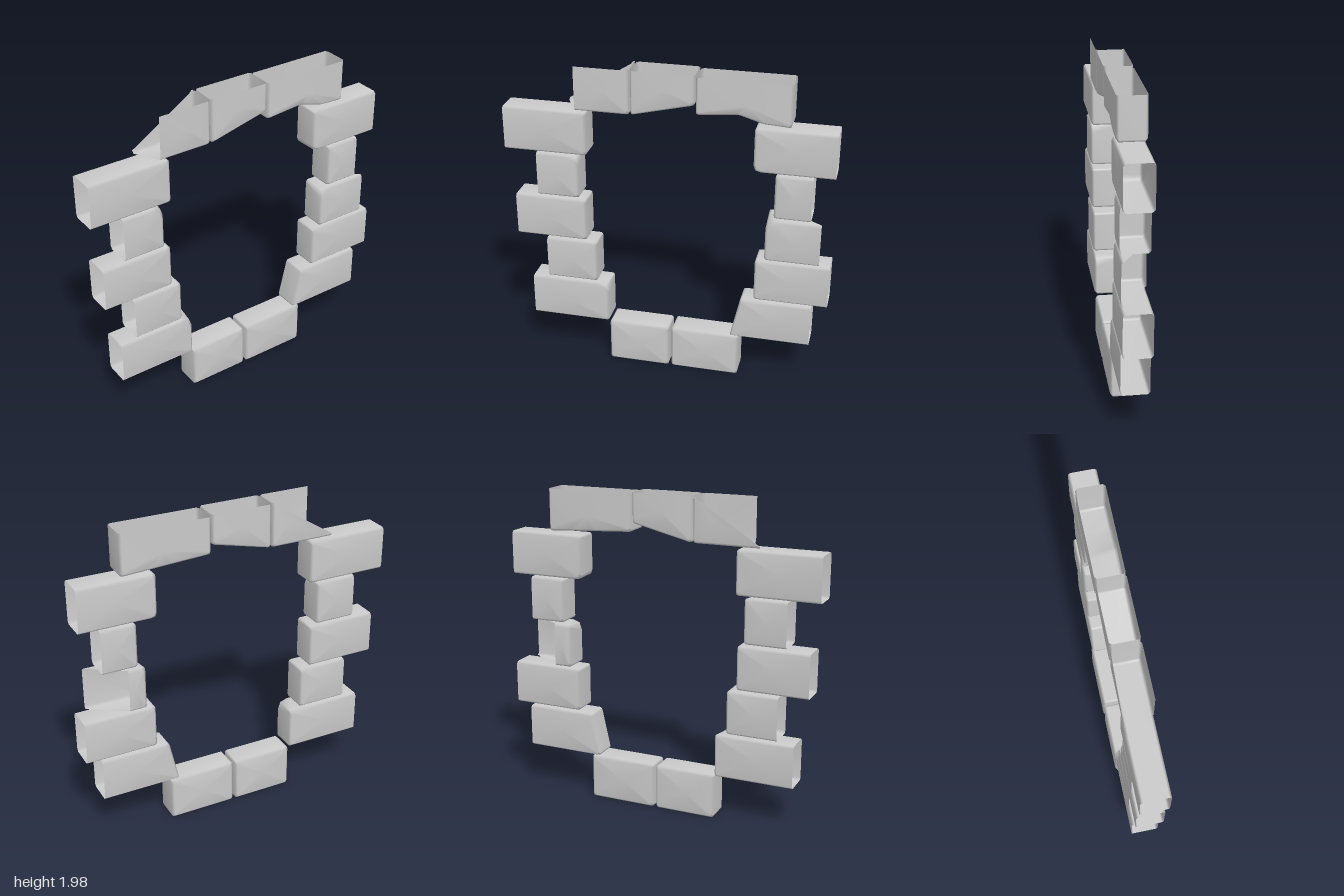
import * as THREE from 'three';
import { mergeVertices } from 'three/addons/utils/BufferGeometryUtils.js';

const D = 0.085; // half depth
const B = 0.014; // bevel
const R = 0.016; // corner rounding
const STEPS = 2;

const material = new THREE.MeshStandardMaterial({ color: 0xcccccc, side: THREE.DoubleSide });

// Moves each corner inwards, leaving open edges in place
function inset(corners, open, b) {
  const n = corners.length;
  const normals = corners.map((c, i) => {
    if (open.includes(i)) return new THREE.Vector2();
    const d = corners[(i + 1) % n].clone().sub(c).normalize();
    return new THREE.Vector2(-d.y, d.x);
  });
  return corners.map((c, i) => {
    const p = normals[(i + n - 1) % n], q = normals[i];
    return c.clone().addScaledVector(p.clone().add(q), b / (1 + Math.max(0, p.dot(q))));
  });
}

// Rounds every corner that does not touch an open edge
function outline(corners, open, radii) {
  const n = corners.length, points = [];
  corners.forEach((c, i) => {
    const prev = corners[(i + n - 1) % n], next = corners[(i + 1) % n];
    const r = open.includes(i) || open.includes((i + n - 1) % n) ? 0 : radii[i] ?? R;
    const a = c.clone().add(prev.clone().sub(c).normalize().multiplyScalar(r));
    const b = c.clone().add(next.clone().sub(c).normalize().multiplyScalar(r));
    points.push(...new THREE.QuadraticBezierCurve(a, c, b).getPoints(STEPS));
  });
  return points;
}

// Bevelled stone lofted from a front outline to a back outline; open edges get no wall
function stone(name, front, { back = front, open = [], chips = {}, backChips = {} } = {}) {
  const f = front.map(p => new THREE.Vector2(...p));
  const k = back.map(p => new THREE.Vector2(...p));
  const loops = [
    [outline(inset(f, open, B), open, chips), D],
    [outline(f, open, chips), D - B],
    [outline(k, open, backChips), B - D],
    [outline(inset(k, open, B), open, backChips), -D],
  ];
  const n = loops[0][0].length, per = STEPS + 1, pos = [], index = [];
  for (const [points, z] of loops) for (const p of points) pos.push(p.x, p.y, z);

  // Walls and bevels
  for (let l = 0; l < 3; l++) {
    for (let i = 0; i < n; i++) {
      if (i % per === STEPS && open.includes(Math.floor(i / per))) continue;
      const j = (i + 1) % n, a = l * n + i, b = l * n + j;
      index.push(a, a + n, b, b, a + n, b + n);
    }
  }
  // Front and back faces, fanned from their middles
  for (const l of [0, 3]) {
    const [points, z] = loops[l];
    const mid = points.reduce((s, p) => s.add(p), new THREE.Vector2()).divideScalar(n);
    const c = pos.length / 3;
    pos.push(mid.x, mid.y, z);
    for (let i = 0; i < n; i++) {
      const a = l * n + i, b = l * n + (i + 1) % n;
      if (l === 0) index.push(c, a, b);
      else index.push(c, b, a);
    }
  }
  let geometry = new THREE.BufferGeometry();
  geometry.setAttribute('position', new THREE.Float32BufferAttribute(pos, 3));
  geometry.setIndex(index);
  geometry = mergeVertices(geometry, 1e-4);
  geometry.computeVertexNormals();
  const mesh = new THREE.Mesh(geometry, material);
  mesh.name = name;
  return mesh;
}

// Corners run bottom left, bottom right, top right, top left as seen from the front
const rect = (x0, x1, y0, y1) => [[x0, y0], [x1, y0], [x1, y1], [x0, y1]];

export function createModel() {
  const group = new THREE.Group();
  group.name = 'stoneSurround';

  // Column on the -x side, outer ends open
  [
    [-1.0, -0.49, 1.42, 1.69],
    [-0.805, -0.545, 1.135, 1.41, { 2: 0.06 }],
    [-0.95, -0.505, 0.85, 1.12],
    [-0.765, -0.445, 0.565, 0.835],
    [-0.87, -0.375, 0.28, 0.55, { 2: 0.065 }],
  ].forEach(([x0, x1, y0, y1, chips], i) =>
    group.add(stone(`rightJambStone${i + 1}`, rect(x0, x1, y0, y1), { open: [3], chips })));

  // Column on the +x side, outer ends open
  [
    [rect(0.515, 0.99, 1.42, 1.69), { chips: { 0: 0.04 }, backChips: { 0: 0.03 } }],
    [rect(0.645, 0.865, 1.135, 1.41)],
    [rect(0.6, 0.93, 0.85, 1.12), { back: rect(0.6, 0.71, 0.85, 1.12), chips: { 3: 0.06 } }],
    [rect(0.545, 0.995, 0.57, 0.84)],
    [[[0.405, 0.285], [0.9, 0.285], [0.9, 0.555], [0.465, 0.555]]],
  ].forEach(([corners, options], i) =>
    group.add(stone(`leftJambStone${i + 1}`, corners, { open: [1], ...options })));

  // Sill
  group.add(stone('sillStoneRight', rect(-0.37, 0.015, 0, 0.282)));
  group.add(stone('sillStoneLeft', rect(0.033, 0.46, 0, 0.282)));

  // Lintel, open on top; the first stone is cut off diagonally behind
  group.add(stone('lintelStoneRight', rect(-0.55, -0.222, 1.705, 1.975), {
    back: [[-0.63, 1.705], [-0.222, 1.705], [-0.222, 1.975], [-0.222, 1.975]], open: [2, 3],
  }));
  group.add(stone('lintelStoneMiddle',
    [[-0.213, 1.705], [0.165, 1.795], [0.165, 1.975], [-0.213, 1.975]], { open: [2] }));
  group.add(stone('lintelStoneLeft',
    [[0.172, 1.74], [0.42, 1.762], [0.56, 1.72], [0.725, 1.71], [0.725, 1.967], [0.172, 1.967]], {
      back: [[0.172, 1.74], [0.42, 1.727], [0.56, 1.719], [0.725, 1.71], [0.725, 1.967], [0.172, 1.967]],
      open: [4],
    }));
  return group;
}
